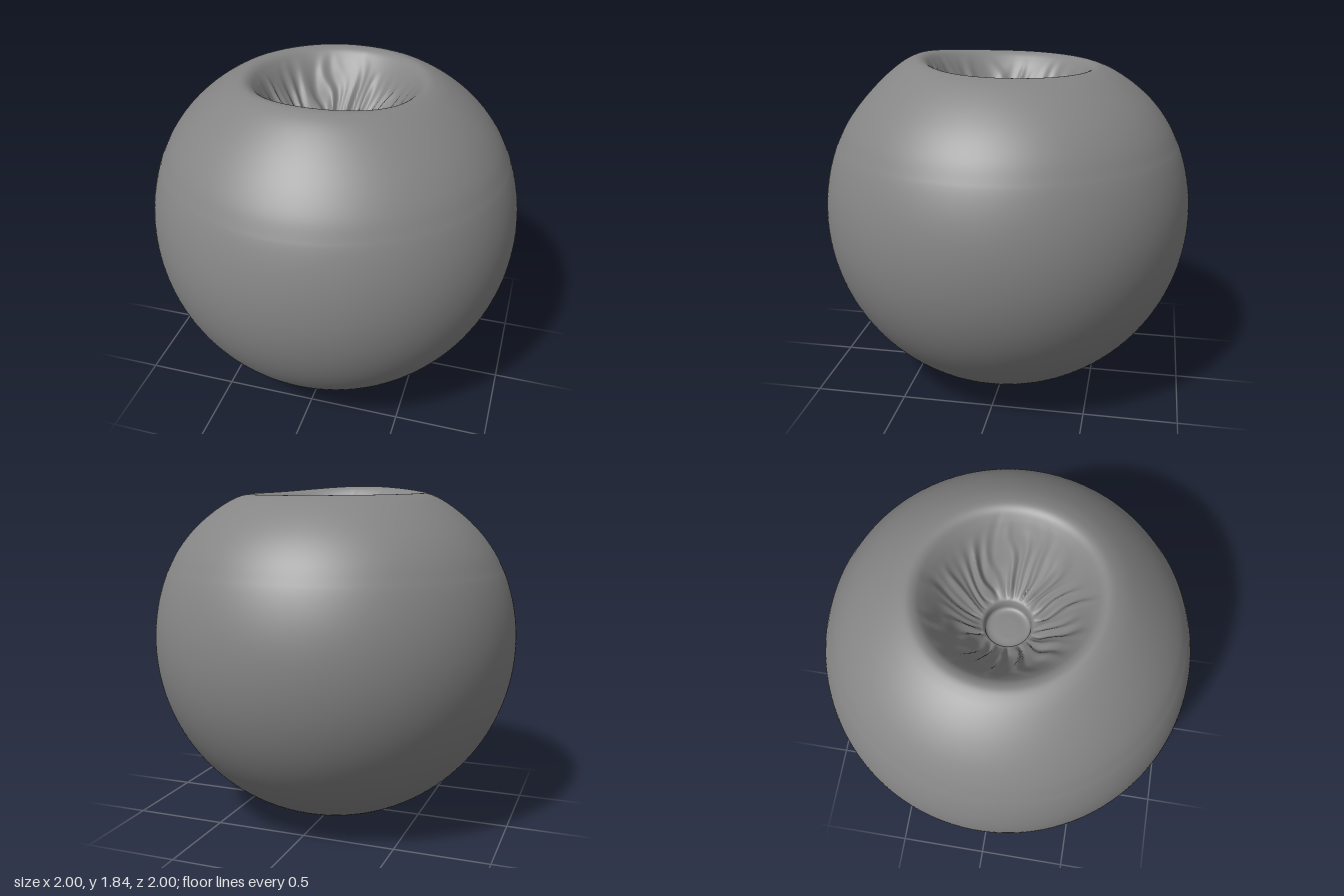
import * as THREE from 'three';
import { mergeVertices } from 'three/addons/utils/BufferGeometryUtils.js';

const smooth = THREE.MathUtils.smoothstep;

// Irregular radial folds, repeating exactly once around the axis
function folds(a, r) {
  const w = a + 0.06 * Math.sin(16 * r + 3 * a) + 0.03 * Math.sin(31 * r + 7 * a);
  return 0.45 * Math.sin(20 * w + 1.4 * Math.sin(3 * w))
    + 0.35 * Math.sin(11 * w + 2 + Math.sin(5 * w))
    + 0.25 * Math.sin(33 * w + 9 * r + 1.3 * Math.sin(4 * w + 1));
}

export function createModel() {
  const group = new THREE.Group();

  // Round shell, from the bottom pole up to the shoulder
  const profile = [];
  for (let i = 0; i <= 56; i++) {
    const a = (i / 56) * 1.95;
    profile.push(new THREE.Vector2(Math.sin(a), 1 - Math.cos(a)));
  }

  // Flattened shoulder, soft lip, funnel-shaped bowl and small sunken pit
  const bowl = new THREE.CatmullRomCurve3([
    [0.929, 1.37], [0.872, 1.482], [0.795, 1.585], [0.7, 1.674], [0.6, 1.743],
    [0.535, 1.775], [0.48, 1.789], [0.445, 1.778], [0.41, 1.744], [0.37, 1.69],
    [0.32, 1.615], [0.26, 1.535], [0.2, 1.465], [0.15, 1.418], [0.127, 1.402],
    [0.119, 1.375], [0.115, 1.345], [0.1, 1.335], [0.05, 1.335], [0, 1.335],
  ].map(([x, y]) => new THREE.Vector3(x, y, 0)), false, 'centripetal');
  for (const p of bowl.getPoints(120).slice(1)) {
    profile.push(new THREE.Vector2(Math.max(p.x, 0), p.y));
  }
  profile[profile.length - 1].x = 0;
  profile[0].set(0, 0);

  let geometry = new THREE.LatheGeometry(profile, 288);
  const pos = geometry.attributes.position;
  for (let i = 0; i < pos.count; i++) {
    const x = pos.getX(i), y = pos.getY(i), z = pos.getZ(i);
    if (y < 1.3) continue;
    const r = Math.hypot(x, z);
    // Lip rises to a gentle crest at the front
    const front = r > 0 ? z / r : 0;
    const lip = smooth(r, 0.12, 0.46) * (1 - smooth(r, 0.48, 0.85));
    let dy = lip * (0.008 + 0.01 * front + 0.03 * Math.max(front, 0) ** 3);
    // Folds run down the bowl wall and fade at both ends
    const a = Math.atan2(x, z);
    const end = 0.42 + 0.03 * Math.sin(7 * a + 2 * Math.sin(4 * a));
    const fade = smooth(r, 0.125, 0.2) * (1 - smooth(r, 0.28, end));
    dy += 0.032 * fade * folds(a, r);
    pos.setY(i, y + dy);
  }

  // Weld the seam so the shading stays smooth
  geometry.deleteAttribute('uv');
  geometry.deleteAttribute('normal');
  geometry = mergeVertices(geometry, 1e-5);
  geometry.computeVertexNormals();

  const body = new THREE.Mesh(geometry, new THREE.MeshStandardMaterial({
    color: 0x858585, side: THREE.DoubleSide,
  }));
  body.name = 'eyeballWithSunkenIris';
  group.add(body);
  return group;
}
